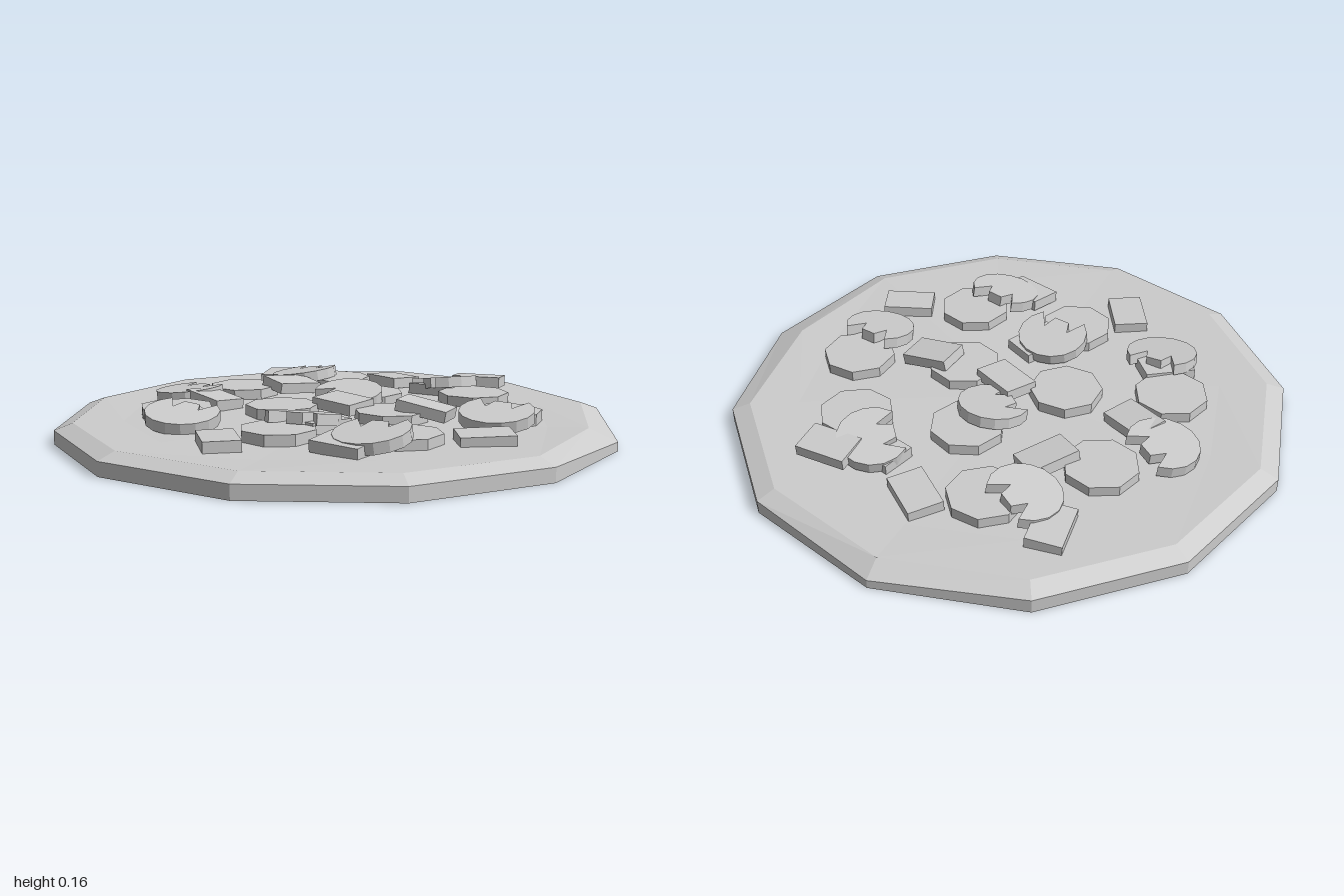
import * as THREE from 'three';

const grey = new THREE.MeshStandardMaterial({ color: 0xcccccc });
grey.name = 'plain grey';

// Twelve-sided crust: bottom centre, stacked rings, top centre
function crustGeometry() {
  const n = 12, pos = [], idx = [];
  const rings = [
    () => [1, 0],
    i => [1, i === 0 || i === 9 ? 0.032 : 0.05],
    i => [i === 0 ? 0.9 : 0.935, 0.074],
    i => [0.76, i % 3 ? 0.073 : 0.068],
  ];
  for (const ring of rings) {
    for (let i = 0; i < n; i++) {
      const a = (i / n) * Math.PI * 2;
      const [r, y] = ring(i);
      pos.push(r * Math.cos(a), y, r * Math.sin(a));
    }
  }
  const bottom = rings.length * n, top = bottom + 1, last = (rings.length - 1) * n;
  pos.push(0, 0, 0, 0, 0.07, 0);
  for (let i = 0; i < n; i++) {
    const j = (i + 1) % n;
    idx.push(bottom, i, j, top, last + j, last + i);
    for (let k = 0; k < last; k += n) {
      idx.push(k + i, k + n + i, k + j, k + j, k + n + i, k + n + j);
    }
  }
  const g = new THREE.BufferGeometry();
  g.setAttribute('position', new THREE.Float32BufferAttribute(pos, 3));
  g.setIndex(idx);
  const flat = g.toNonIndexed();
  flat.computeVertexNormals();
  return flat;
}

// Mushroom slice: round cap, two pointed lobes and a short stem between notches
function mushroomGeometry() {
  const s = new THREE.Shape();
  const start = 2.3, sweep = Math.PI * 2 - 2 * (start - Math.PI / 2);
  for (let i = 0; i <= 12; i++) {
    const a = start + (sweep * i) / 12;
    const x = 0.13 * Math.cos(a), y = 0.125 * Math.sin(a);
    if (i) s.lineTo(x, y); else s.moveTo(x, y);
  }
  s.lineTo(0.047, 0.025);
  s.lineTo(0.03, 0.075);
  s.lineTo(-0.03, 0.08);
  s.lineTo(-0.047, 0.025);
  s.closePath();
  return new THREE.ExtrudeGeometry(s, { depth: 0.04, bevelEnabled: false })
    .translate(0, 0, -0.02).rotateX(-Math.PI / 2);
}

export function createModel() {
  const model = new THREE.Group();
  model.name = 'pizza';

  // Place a part at x, y, z with a turn and a slope (rise along x and along z)
  function add(name, geometry, x, y, z, turn = 0, riseX = 0, riseZ = 0) {
    const mesh = new THREE.Mesh(geometry.rotateY(turn), grey);
    mesh.name = name;
    mesh.position.set(x, y, z);
    mesh.rotation.set(-riseZ, 0, riseX);
    model.add(mesh);
  }

  add('crust', crustGeometry(), 0, 0, 0);

  // Sausage slices: x, z, turn
  [
    [-0.46, -0.25, 0.1], [-0.18, -0.55, 0.3], [0.04, -0.26, 0], [-0.18, 0.08, 0.4],
    [0.22, 0.06, 0.05], [-0.53, 0.22, 0.1], [-0.05, 0.465, 0], [0.36, 0.41, 0.1],
    [0.6, -0.06, 0.35], [0.42, -0.37, 0.2],
  ].forEach(([x, z, turn]) => {
    const g = new THREE.CylinderGeometry(0.132, 0.132, 0.04, 8).toNonIndexed();
    g.computeVertexNormals();
    add('sausageSlice', g, x, 0.088, z, turn);
  });

  // Mushroom slices: x, y, z, stem direction x and z, slope
  [
    [-0.305, 0.115, -0.515, 0.5, -1, 0.15, 0],
    [0.28, 0.117, -0.49, -0.6, 0.6, 0.1, 0.15],
    [-0.61, 0.1, -0.07, 0.5, -0.85, 0.1, 0],
    [0, 0.112, -0.14, -0.6, 0.7, 0, -0.18],
    [-0.01, 0.117, 0.335, -0.05, 1, 0, 0.17],
    [-0.42, 0.112, 0.41, 0.05, -1, -0.08, -0.17],
    [0.6, 0.117, 0.09, 0.1, -1, 0, -0.18],
    [0.29, 0.117, 0.53, 0.1, -1, 0.08, -0.17],
  ].forEach(([x, y, z, dx, dz, rx, rz]) =>
    add('mushroomSlice', mushroomGeometry(), x, y, z, Math.atan2(-dx, -dz), rx, rz));

  // Ham pieces: x, y, z, long direction x and z, slope
  [
    [0.03, 0.088, -0.64, 27, 21, 0, 0.05],
    [0.395, 0.115, -0.585, 1, 0, 0, 0.08],
    [-0.285, 0.11, -0.305, -17, 25, -0.15, 0],
    [-0.47, 0.098, 0.02, 33, 18, -0.12, 0],
    [0.03, 0.112, 0.02, 34, 17, 0, -0.08],
    [0.34, 0.115, 0.04, 35, 3, -0.18, 0],
    [-0.19, 0.088, 0.64, 18, 30, 0, 0],
    [0.61, 0.088, 0.33, 32, -14, 0, -0.05],
    [-0.435, 0.09, -0.59, 5, 34, 0.05, 0],
    [0.04, 0.092, 0.31, -17, 34, 0, 0.05],
    [0.22, 0.095, 0.6, 32, 10, 0, -0.1],
    [-0.45, 0.092, 0.37, 24, -20, 0, -0.08],
    [0.25, 0.09, -0.5, 32, 8, 0, 0.05],
  ].forEach(([x, y, z, dx, dz, rx, rz]) =>
    add('hamPiece', new THREE.BoxGeometry(0.185, 0.04, 0.125), x, y, z, Math.atan2(-dz, dx), rx, rz));

  return model;
}
